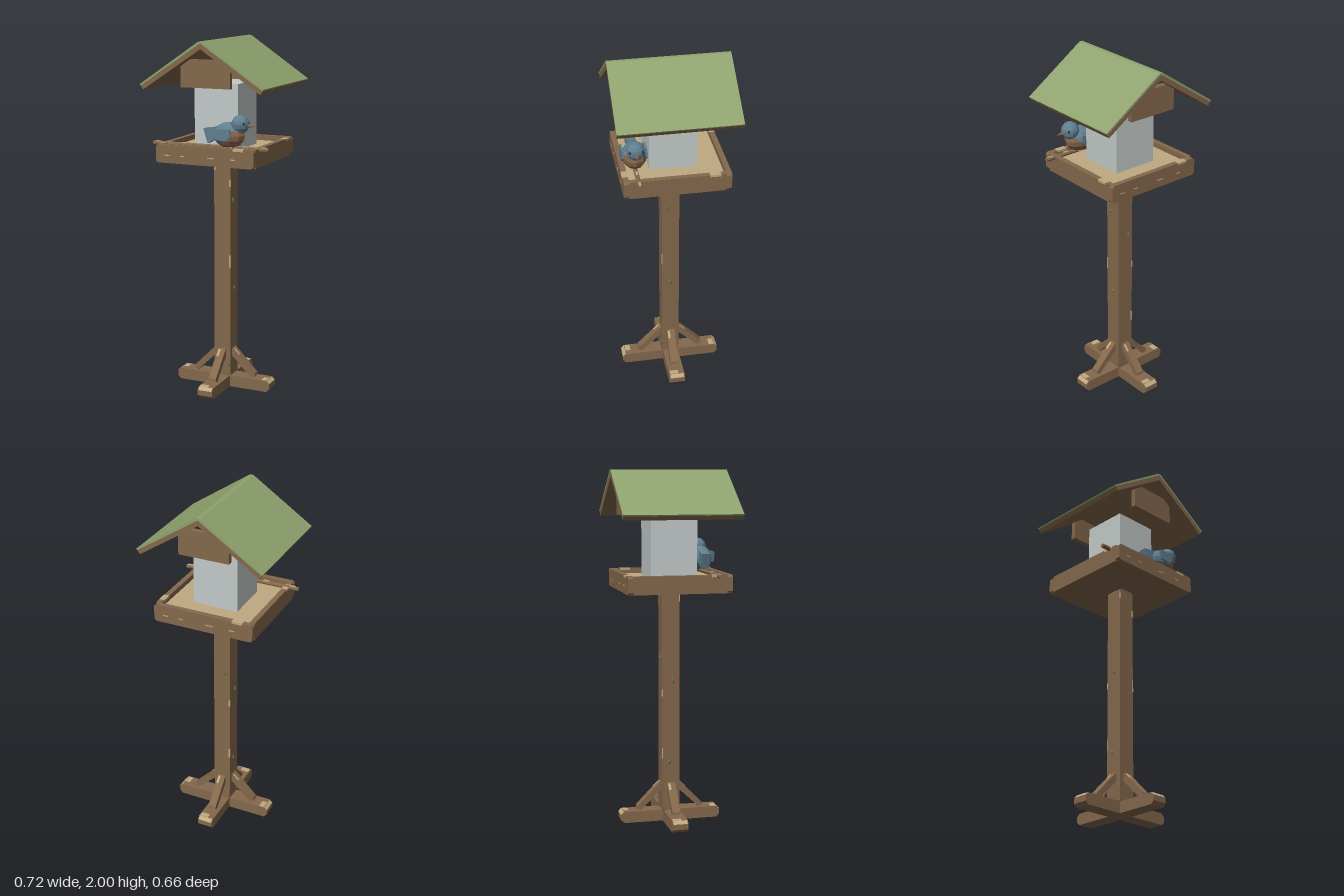
import * as THREE from 'three';

const paint = (name, color) => Object.assign(new THREE.MeshStandardMaterial({ color }), { name });

export function createModel() {
  const wood = paint('weathered wood', 0x84684c);
  const pale = paint('bare wood', 0xbfa980);
  const green = paint('roof green', 0x8fa36f);
  const moss = paint('moss', 0x5f7d4a);
  const glass = paint('hopper grey', 0xc2cac8);
  const blue = paint('bird blue', 0x607f90);
  const breast = paint('bird breast', 0x86664a);
  const dark = paint('dark', 0x2e2620);

  const model = new THREE.Group();
  const add = (name, geo, mat, x = 0, y = 0, z = 0, parent = model) => {
    const m = new THREE.Mesh(geo, mat);
    m.name = name;
    m.position.set(x, y, z);
    parent.add(m);
    return m;
  };
  const box = (w, h, d) => new THREE.BoxGeometry(w, h, d);
  // Outline in x/y, extruded to a depth centred on z = 0
  const slab = (pts, depth) => {
    const g = new THREE.ExtrudeGeometry(new THREE.Shape(pts.map(p => new THREE.Vector2(...p))),
      { depth, bevelEnabled: false });
    return g.translate(0, 0, -depth / 2);
  };
  // Beam along x with clipped corners
  const beam = (len, h, d, c) => {
    const a = len / 2, b = h / 2;
    return slab([[-a + c, -b], [a - c, -b], [a, -b + c], [a, b - c],
      [a - c, b], [-a + c, b], [-a, b - c], [-a, -b + c]], d);
  };
  const faceted = geo => {
    const g = geo.toNonIndexed();
    g.computeVertexNormals();
    return g;
  };

  // Crossed feet with worn ends
  for (let i = 0; i < 2; i++) {
    const foot = new THREE.Group();
    foot.name = 'foot';
    foot.rotation.y = i * Math.PI / 2;
    add('footBeam', beam(0.58, 0.066 - i * 0.002, 0.09, 0.018), wood, 0, 0.034, 0, foot);
    for (const s of [-1, 1]) {
      const worn = add('wornEnd', box(0.024, 0.004, 0.08), pale, s * 0.281, 0.058, 0, foot);
      worn.rotation.z = -s * Math.PI / 4;
      add('wornTop', box(0.03, 0.004, 0.05), pale, s * 0.255, 0.066, 0.015 * s, foot);
    }
    model.add(foot);
  }

  // Four diagonal braces
  for (let i = 0; i < 4; i++) {
    const brace = new THREE.Group();
    brace.name = 'brace';
    brace.rotation.y = i * Math.PI / 2;
    add('braceBar', slab([[0.15, 0.085], [0.165, 0.066], [0.192, 0.074], [0.19, 0.09],
      [0.055, 0.228], [0.045, 0.228], [0.045, 0.186]], 0.046), wood, 0, 0, 0, brace);
    const chip = add('braceChip', box(0.045, 0.004, 0.014), pale, 0.075, 0.207, 0.012, brace);
    chip.rotation.z = -Math.PI / 4;
    model.add(brace);
  }

  // Post, with clipped top
  const post = add('post', beam(1.28, 0.1, 0.1, 0.012), wood, 0, 0.698, 0);
  post.rotation.z = Math.PI / 2;
  for (const [x, y, z, h] of [[0.047, 1.2, 0.049, 0.04], [0.047, 0.75, 0.049, 0.07],
    [-0.047, 1.29, 0.049, 0.04], [-0.047, 0.4, -0.049, 0.06], [-0.047, 0.75, -0.049, 0.04]])
    add('postChip', box(0.009, h, 0.005), pale, x, y, z);
  for (const [x, y, z] of [[0.051, 1.1, 0.02], [-0.052, 0.82, 0.01], [0.051, 0.585, 0],
    [-0.052, 0.35, -0.01], [0.045, 0.14, 0.052], [-0.02, 0.95, -0.051]]) {
    const m = add('mossTuft', faceted(new THREE.OctahedronGeometry(1)), moss, x, y, z);
    m.scale.set(0.008, 0.02, 0.01);
  }

  // Feeding tray: base, pale floor and four rails
  add('trayBase', box(0.56, 0.03, 0.56), wood, 0, 1.35, 0);
  add('trayFloor', box(0.53, 0.04, 0.53), pale, 0, 1.386, 0);
  for (let i = 0; i < 4; i++) {
    const rail = new THREE.Group();
    rail.name = 'trayRail';
    rail.rotation.y = i * Math.PI / 2;
    const long = i % 2 === 0;
    add('railBoard', long ? beam(0.58, 0.1, 0.03, 0.012) : box(0.52, 0.1, 0.03), wood, 0, 1.385, 0.275, rail);
    for (const [x, w] of [[-0.22, 0.03], [-0.13, 0.025], [0.04, 0.04], [0.17, 0.03]])
      if (long) add('railChip', box(w, 0.006, 0.003), pale, x, 1.378, 0.29, rail);
    add('railWear', box(0.06, 0.012, 0.032), pale, 0.2, 1.43, 0.275, rail);
    model.add(rail);
  }

  // Perch rod
  const perch = add('perch', faceted(new THREE.CylinderGeometry(0.012, 0.012, 0.69, 8)), wood, 0, 1.43, 0.21);
  perch.rotation.z = Math.PI / 2;
  for (const x of [-0.31, -0.15, 0.21, 0.32]) add('perchWear', box(0.035, 0.006, 0.012), pale, x, 1.44, 0.21);

  // Seed hopper
  add('hopper', box(0.26, 0.36, 0.26), glass, 0, 1.585, 0);

  // Gable boards, clipped under the roof slopes
  const gable = slab([[-0.145, 1.75], [0.145, 1.75], [0.145, 1.862], [0.09, 1.9],
    [-0.09, 1.9], [-0.145, 1.862]], 0.03);
  for (const s of [-1, 1]) add('gableBoard', gable, wood, 0, 0, s * 0.255);

  // Roof: wooden boards with a green skin, and a flat ridge
  for (const s of [-1, 1]) {
    const side = new THREE.Group();
    side.name = 'roofSide';
    side.rotation.y = s > 0 ? 0 : Math.PI;
    add('roofBoard', slab([[0, 1.96], [0.342, 1.735], [0.357, 1.757], [0, 1.992]], 0.656), wood, 0, 0, 0, side);
    add('roofSkin', slab([[0, 1.991], [0.356, 1.756], [0.361, 1.764], [0.01, 2], [0, 2]], 0.66), green, 0, 0, 0, side);
    model.add(side);
  }

  // Bird on the perch, facing +x
  const bird = new THREE.Group();
  bird.name = 'bird';
  bird.position.set(0.115, 1.5, 0.21);
  model.add(bird);
  const body = faceted(new THREE.SphereGeometry(1, 10, 8));
  const p = body.attributes.position;
  body.clearGroups();
  for (let i = 0; i < p.count; i += 3) {
    const mean = f => (p[f](i) + p[f](i + 1) + p[f](i + 2)) / 3;
    body.addGroup(i, 3, 0.8 * mean('getX') - 0.6 * mean('getY') > 0.22 ? 1 : 0);
  }
  add('birdBody', body, [blue, breast], 0, 0, 0, bird).scale.set(0.092, 0.07, 0.068);
  add('birdHead', faceted(new THREE.SphereGeometry(0.051, 10, 8)), blue, 0.064, 0.06, 0, bird);
  add('birdCap', faceted(new THREE.CylinderGeometry(0.052, 0.052, 0.008, 10)), blue, 0.064, 0.066, 0, bird);
  const beak = add('beak', faceted(new THREE.ConeGeometry(0.012, 0.05, 6)), breast, 0.133, 0.054, 0, bird);
  beak.rotation.z = -Math.PI / 2;
  add('tail', slab([[-0.143, 0.03], [-0.118, -0.05], [-0.04, -0.005], [-0.05, 0.05], [-0.1, 0.035]], 0.05),
    blue, 0, 0, 0, bird);
  for (const s of [-1, 1]) {
    add('wing', slab([[-0.065, 0.035], [-0.05, -0.02], [0.01, -0.025], [0.035, 0.0], [0.03, 0.038]], 0.012),
      blue, 0, 0, s * 0.064, bird);
    add('eye', new THREE.SphereGeometry(0.007, 8, 6), dark, 0.098, 0.068, s * 0.034, bird);
    add('birdFoot', box(0.03, 0.012, 0.012), pale, 0.01, -0.062, s * 0.02, bird);
  }
  return model;
}
